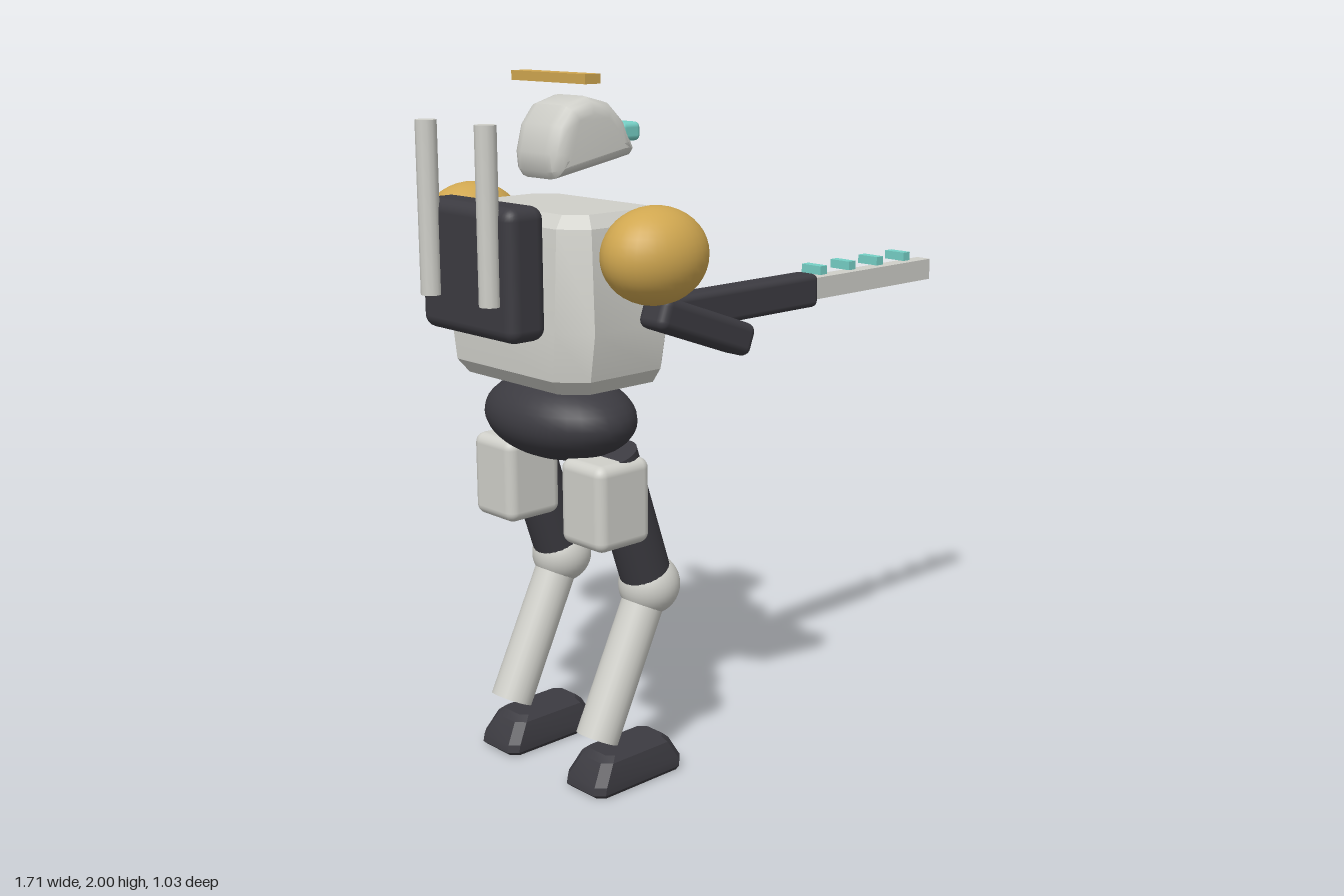
import * as THREE from 'three';
import { toCreasedNormals } from 'three/addons/utils/BufferGeometryUtils.js';
import { RoundedBoxGeometry } from 'three/addons/geometries/RoundedBoxGeometry.js';

const mat = (name, color) => {
  const m = new THREE.MeshStandardMaterial({ color });
  m.name = name;
  return m;
};

// Stacked chamfered rectangles; each section is [y, xBack, xFront, halfWidth, chamfer]
function loft(sections, cz = 0) {
  const pos = [], idx = [];
  for (const [y, x0, x1, w, c] of sections) {
    const ring = [[x1, -w + c], [x1, w - c], [x1 - c, w], [x0 + c, w],
      [x0, w - c], [x0, -w + c], [x0 + c, -w], [x1 - c, -w]];
    ring.forEach(([x, z]) => pos.push(x, y, z + cz));
  }
  const top = (sections.length - 1) * 8;
  for (let s = 0; s < top; s += 8) {
    for (let i = 0; i < 8; i++) {
      const a = s + i, b = s + (i + 1) % 8;
      idx.push(a, a + 8, b + 8, a, b + 8, b);
    }
  }
  for (let i = 1; i < 7; i++) idx.push(0, i, i + 1, top, top + i + 1, top + i);
  const g = new THREE.BufferGeometry();
  g.setAttribute('position', new THREE.Float32BufferAttribute(pos, 3));
  g.setIndex(idx);
  return toCreasedNormals(g, 0.4);
}

export function createModel() {
  const model = new THREE.Group();
  model.name = 'robot';
  const grey = mat('light grey armour', 0xcfcfc9);
  const dark = mat('dark frame', 0x3c3b41);
  const gold = mat('gold trim', 0xd0a750);
  const teal = mat('teal glow', 0x76d0c6);

  const add = (name, geo, material, x = 0, y = 0, z = 0) => {
    const m = new THREE.Mesh(geo, material);
    m.name = name;
    m.position.set(x, y, z);
    model.add(m);
    return m;
  };
  const ball = (name, material, x, y, z, rx, ry = rx, rz = rx) =>
    add(name, new THREE.SphereGeometry(1, 32, 20), material, x, y, z).scale.set(rx, ry, rz);
  const block = (name, material, x, y, z, w, h, d, r) =>
    add(name, new RoundedBoxGeometry(w, h, d, 3, r), material, x, y, z);
  // Cylinder between two points in a plane of constant z
  const limb = (name, material, [ax, ay], [bx, by], z, ra, rb) => {
    const m = add(name, new THREE.CylinderGeometry(rb, ra, Math.hypot(bx - ax, by - ay), 24),
      material, (ax + bx) / 2, (ay + by) / 2, z);
    m.rotation.z = Math.atan2(by - ay, bx - ax) - Math.PI / 2;
  };

  // Torso and pelvis
  add('torso', loft([
    [1.17, -0.66, -0.315, 0.255, 0.06],
    [1.21, -0.69, -0.30, 0.28, 0.07],
    [1.34, -0.695, -0.29, 0.30, 0.075],
    [1.61, -0.66, -0.305, 0.262, 0.065],
    [1.645, -0.63, -0.335, 0.235, 0.05],
  ]), grey);
  ball('pelvis', dark, -0.495, 1.055, 0, 0.18, 0.122, 0.257);
  block('chestPlate', gold, -0.295, 1.365, 0, 0.06, 0.25, 0.2, 0.025);
  ball('chestOrb', teal, -0.285, 1.55, 0, 0.077);

  // Head: side profile with rounded cheeks
  const profile = new THREE.Shape([
    [-0.555, 1.72], [-0.29, 1.768], [-0.275, 1.79], [-0.315, 1.87], [-0.365, 1.918],
    [-0.44, 1.937], [-0.515, 1.915], [-0.555, 1.865], [-0.575, 1.79], [-0.57, 1.74],
  ].reverse().map(([x, y]) => new THREE.Vector2(x, y)));
  const skull = new THREE.ExtrudeGeometry(profile, {
    depth: 0.1, bevelThickness: 0.05, bevelSize: 0.045, bevelOffset: -0.045, bevelSegments: 4,
  });
  add('head', toCreasedNormals(skull, 0.6), grey, 0, 0, -0.05);
  block('visor', teal, -0.295, 1.835, 0, 0.07, 0.052, 0.178, 0.015);
  add('crest', new THREE.BoxGeometry(0.054, 0.026, 0.31), gold, -0.492, 1.987, 0);

  // Backpack
  block('backpack', dark, -0.753, 1.498, 0, 0.125, 0.355, 0.4, 0.035);

  for (const side of [1, -1]) {
    add('antenna', new THREE.CylinderGeometry(0.029, 0.029, 0.465, 12), grey, -0.828, 1.652, side * 0.128);

    // Arm
    ball('shoulder', gold, -0.49, 1.546, side * 0.39, 0.156, 0.13, 0.126);
    block('forearm', dark, -0.333, 1.34, side * 0.39, 0.36, 0.092, 0.102, 0.025).rotation.z = -0.35;

    // Leg
    const z = side * 0.195;
    block('hipArmour', grey, -0.5, 0.845, z, 0.19, 0.245, 0.176, 0.03);
    limb('thigh', dark, [-0.34, 0.56], [-0.478, 0.975], z, 0.074, 0.074);
    ball('knee', grey, -0.338, 0.563, z, 0.089);
    limb('shin', grey, [-0.542, 0.148], [-0.34, 0.56], z, 0.062, 0.061);
    add('foot', loft([
      [0, -0.595, -0.285, 0.075, 0.02],
      [0.012, -0.608, -0.275, 0.083, 0.025],
      [0.035, -0.603, -0.275, 0.083, 0.025],
      [0.092, -0.565, -0.305, 0.067, 0.025],
      [0.106, -0.54, -0.32, 0.052, 0.02],
    ], z), dark);
  }

  // Rifle
  block('rifleBody', dark, -0.025, 1.34, 0.205, 0.67, 0.1, 0.085, 0.018);
  add('barrel', new THREE.BoxGeometry(0.56, 0.065, 0.05), grey, 0.575, 1.342, 0.205);
  for (let i = 0; i < 4; i++) {
    add('barrelCoil', new THREE.BoxGeometry(0.03, 0.026, 0.075), teal, 0.335 + i * 0.13, 1.397, 0.203);
  }
  return model;
}
